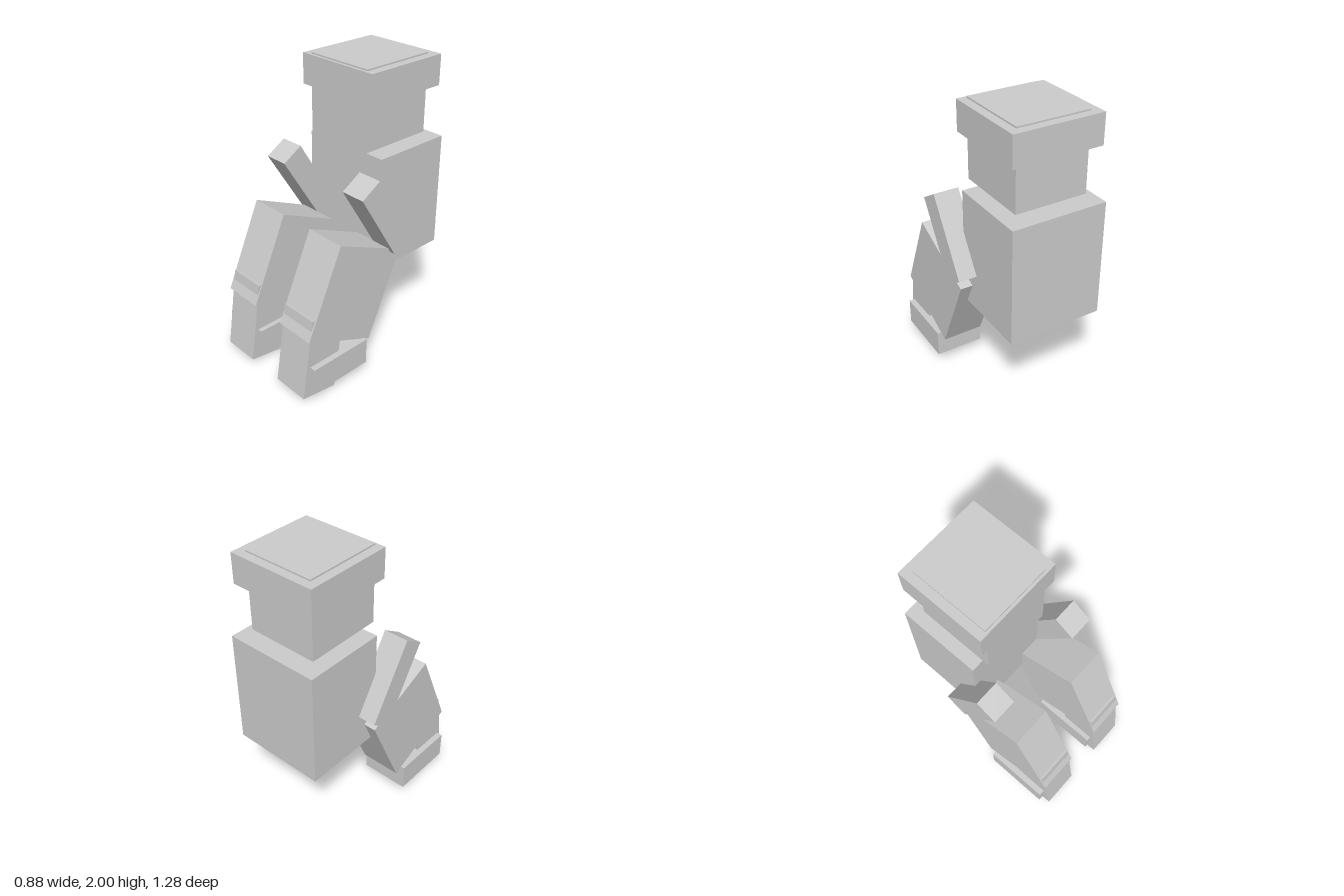
import * as THREE from 'three';

const grey = new THREE.MeshStandardMaterial({ color: 0xcccccc, flatShading: true });

// Box given by size and centre, pitched about x
function box(name, [w, h, d], [x, y, z], pitch = 0) {
  const mesh = new THREE.Mesh(new THREE.BoxGeometry(w, h, d), grey);
  mesh.name = name;
  mesh.position.set(x, y, z);
  mesh.rotation.x = pitch;
  return mesh;
}

export function createModel() {
  const model = new THREE.Group();
  model.name = 'blockFigure';

  // Body, head and the band around the head
  model.add(
    box('torso', [0.64, 0.783, 0.56], [0, 1.053, -0.36]),
    box('head', [0.485, 0.522, 0.525], [0, 1.739, -0.283]),
    box('headBand', [0.6, 0.2, 0.6], [0, 1.89, -0.302]),
  );

  // Arms and seated, bent legs on both sides
  for (const [side, s] of [['left', 1], ['right', -1]]) {
    model.add(
      box(side + 'Arm', [0.17, 0.56, 0.163], [s * 0.357, 1.11, -0.018], 0.55),
      box(side + 'Thigh', [0.28, 0.635, 0.564], [s * 0.264, 0.64, 0.208], -0.421),
      box(side + 'Shin', [0.26, 0.562, 0.263], [s * 0.262, 0.302, 0.468], -0.152),
      box(side + 'Foot', [0.334, 0.185, 0.45], [s * 0.266, 0.172, 0.355]),
    );
  }
  return model;
}
